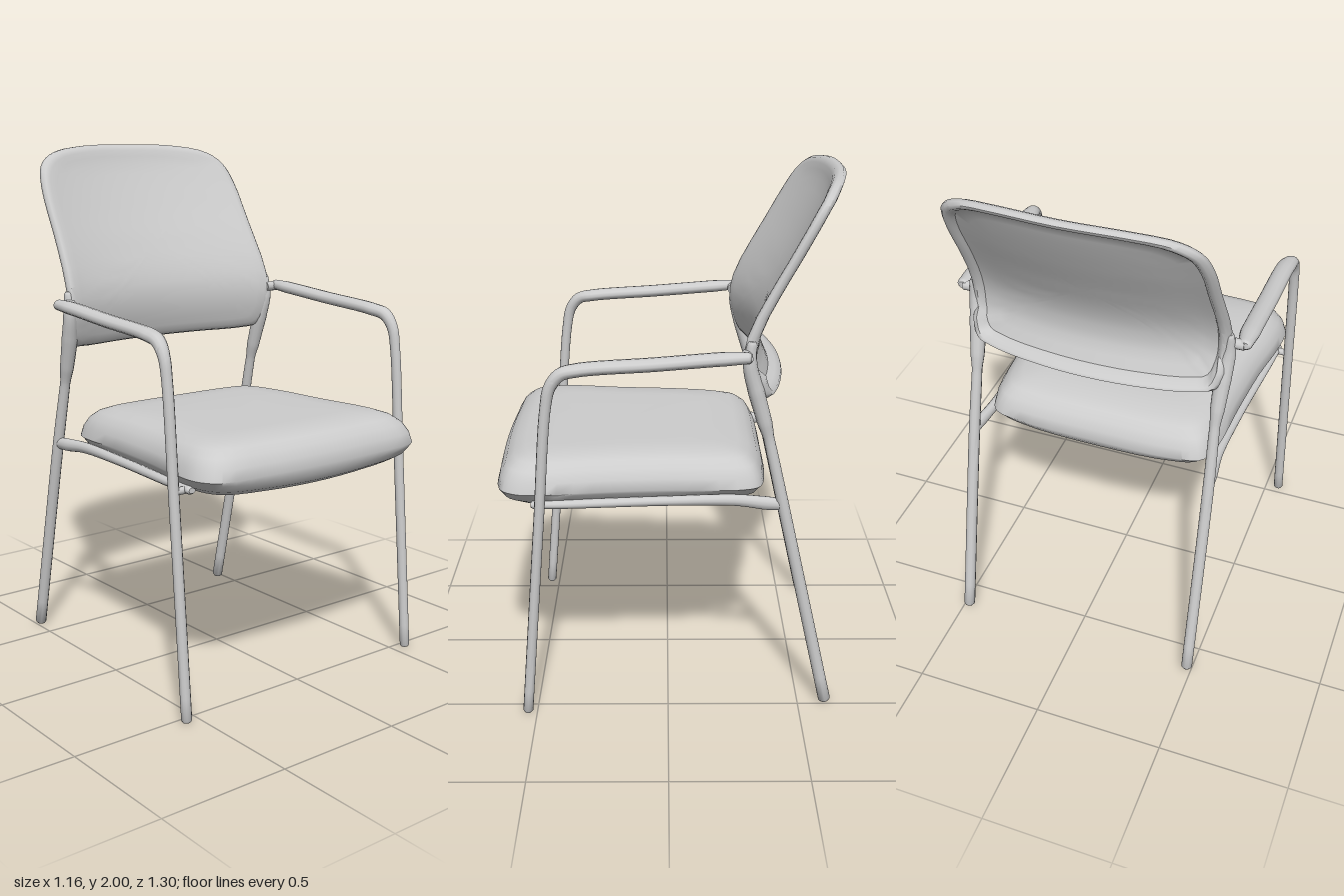
import * as THREE from 'three';
import { toCreasedNormals } from 'three/addons/utils/BufferGeometryUtils.js';

const grey = new THREE.MeshStandardMaterial({ color: 0xcccccc });
grey.name = 'light grey';

// Skin a list of closed rings (each an array of Vector3).
function loft(rings, crease = 0.9) {
  const n = rings[0].length, index = [];
  for (let i = 0; i < rings.length - 1; i++) {
    for (let j = 0; j < n; j++) {
      const k = (j + 1) % n, a = i * n + j, b = i * n + k;
      index.push(a, b, b + n, a, b + n, a + n);
    }
  }
  const geo = new THREE.BufferGeometry().setFromPoints(rings.flat());
  geo.setIndex(index);
  return toCreasedNormals(geo, crease);
}

// Bar along a path in the y-z plane; each point is [x, y, z, half width, half height].
function bar(points, steps = 40, sides = 12) {
  const curve = new THREE.CatmullRomCurve3(points.map(p => new THREE.Vector3(p[0], p[1], p[2])), false, 'centripetal');
  const X = new THREE.Vector3(1, 0, 0), rings = [];
  const addRing = (t, scale, shift = 0) => {
    const f = t * (points.length - 1), i = Math.min(Math.floor(f), points.length - 2);
    const w = THREE.MathUtils.lerp(points[i][3], points[i + 1][3], f - i) * scale;
    const h = THREE.MathUtils.lerp(points[i][4], points[i + 1][4], f - i) * scale;
    const T = curve.getTangent(t);
    const P = curve.getPoint(t).addScaledVector(T, shift);
    const N = T.clone().cross(X).normalize();
    rings.push(Array.from({ length: sides }, (_, j) => {
      const a = j / sides * Math.PI * 2;
      return P.clone().addScaledVector(X, w * Math.cos(a)).addScaledVector(N, h * Math.sin(a));
    }));
  };
  addRing(0, 0, 0);
  addRing(0, 0.7, 0);
  for (let s = 0; s <= steps; s++) addRing(s / steps, 1, s === 0 ? 0.008 : s === steps ? -0.008 : 0);
  addRing(1, 0.7, 0);
  addRing(1, 0, 0);
  return loft(rings);
}

// Mirrored closed outline from half of its points, first and last on the centre line.
function outline(half, samples = 72) {
  const full = half.concat(half.slice(1, -1).reverse().map(([x, v]) => [-x, v]));
  const curve = new THREE.CatmullRomCurve3(full.map(([x, v]) => new THREE.Vector3(x, v, 0)), true, 'centripetal');
  return Array.from({ length: samples }, (_, i) => curve.getPoint(i / samples));
}

function lookup(table, v) {
  if (v <= table[0][0]) return table[0][1];
  for (let i = 1; i < table.length; i++) {
    const [a, za] = table[i - 1], [b, zb] = table[i];
    if (v <= b) return za + (zb - za) * (v - a) / (b - a);
  }
  return table[table.length - 1][1];
}

// Padded seat with a rounded edge and a slightly bellied underside.
function seatGeometry() {
  const shape = outline([[0, -0.37], [0.3, -0.365], [0.42, -0.34], [0.455, -0.27], [0.475, 0], [0.492, 0.22],
    [0.522, 0.44], [0.518, 0.55], [0.47, 0.615], [0.25, 0.638], [0, 0.645]]);
  const profile = [[0, 1], [0.3, 1], [0.6, 1], [0.8, 0.995], [0.88, 0.98], [0.94, 0.955], [0.98, 0.92], [1, 0.88],
    [0.985, 0.845], [0.95, 0.82], [0.88, 0.8], [0.6, 0.79], [0.3, 0.79], [0, 0.79]];
  return loft(profile.map(([s, y]) => shape.map(p => {
    const x = p.x * s, z = 0.14 + (p.y - 0.14) * s;
    const lift = y < 0.85 ? 0.025 * (x / 0.5) ** 2 : -0.012 * Math.max(0, -z / 0.37);
    return new THREE.Vector3(x, y + lift, z);
  })));
}

// Thin bowed backrest with a thicker rim rolled to the rear.
function backGeometry() {
  const shape = outline([[0, 2], [0.22, 1.995], [0.38, 1.968], [0.45, 1.92], [0.478, 1.84], [0.488, 1.65],
    [0.5, 1.42], [0.495, 1.3], [0.47, 1.235], [0.4, 1.222], [0.2, 1.22], [0, 1.22]]);
  const lean = [[1.22, -0.29], [1.28, -0.272], [1.34, -0.26], [1.4, -0.258], [1.46, -0.27], [1.53, -0.298],
    [1.63, -0.35], [1.74, -0.412], [1.84, -0.465], [1.925, -0.507], [2, -0.53]];
  const front = [0, 0.1, 0.2, 0.3, 0.4, 0.5, 0.6, 0.7, 0.8, 0.88, 0.94];
  const rim = [[0.98, 0.004], [1, 0.018], [0.998, 0.034], [0.975, 0.046], [0.945, 0.046], [0.92, 0.034], [0.905, 0.018]];
  const profile = [...front.map(s => [s, 0]), ...rim, ...front.slice(0, 9).reverse().map(s => [s, 0.014])];
  return loft(profile.map(([s, depth]) => shape.map(p => {
    const x = p.x * s, y = 1.6 + (p.y - 1.6) * s;
    const bow = 0.08 * (1 - (x / 0.5) ** 2);
    const deeper = y < 1.32 ? 1.6 : 1;
    return new THREE.Vector3(x, y, lookup(lean, y) - bow - depth * deeper);
  })));
}

export function createModel() {
  const model = new THREE.Group();
  model.name = 'armchair';
  const add = (name, geo, parent = model) => {
    const mesh = new THREE.Mesh(geo, grey);
    mesh.name = name;
    parent.add(mesh);
    return mesh;
  };

  add('seat', seatGeometry());
  add('backrest', backGeometry());

  for (const side of [1, -1]) {
    const frame = new THREE.Group();
    frame.name = side > 0 ? 'leftFrame' : 'rightFrame';
    model.add(frame);
    const at = (...points) => points.map(([x, ...rest]) => [x * side, ...rest]);

    // Front leg bending into the flat armrest
    add('frontLegAndArmrest', bar(at(
      [0.555, 0, 0.535, 0.02, 0.019], [0.555, 0.8, 0.468, 0.02, 0.019], [0.555, 1.22, 0.432, 0.02, 0.02],
      [0.554, 1.3, 0.414, 0.022, 0.022], [0.55, 1.345, 0.378, 0.028, 0.024], [0.543, 1.36, 0.32, 0.037, 0.024],
      [0.542, 1.38, 0.05, 0.038, 0.024], [0.542, 1.4, -0.2, 0.037, 0.024], [0.546, 1.405, -0.29, 0.024, 0.02]), 72), frame);

    // Rear leg thickening into the backrest bracket
    add('rearLeg', bar(at(
      [0.48, 0, -0.607, 0.022, 0.023], [0.48, 0.82, -0.423, 0.022, 0.022], [0.476, 1.08, -0.364, 0.02, 0.02],
      [0.477, 1.14, -0.348, 0.027, 0.027], [0.482, 1.26, -0.314, 0.032, 0.03], [0.492, 1.36, -0.29, 0.026, 0.026],
      [0.495, 1.45, -0.295, 0.015, 0.016]), 48), frame);

    // Rail under the seat edge, flaring at the rear leg
    add('seatRail', bar(at(
      [0.5, 0.835, 0.5, 0.02, 0.015], [0.495, 0.833, 0.4, 0.02, 0.016], [0.468, 0.835, 0, 0.02, 0.018],
      [0.462, 0.835, -0.25, 0.02, 0.022], [0.474, 0.828, -0.36, 0.021, 0.026], [0.48, 0.825, -0.43, 0.018, 0.022]), 32), frame);

    // Short pins joining the rail and armrest to the uprights
    const pin = (name, x, y, z, r, length) => {
      const mesh = add(name, new THREE.CylinderGeometry(r, r, length, 12), frame);
      mesh.rotation.z = Math.PI / 2;
      mesh.position.set(x * side, y, z);
    };
    pin('railPin', 0.52, 0.832, 0.466, 0.014, 0.06);
    pin('armrestPin', 0.515, 1.4, -0.277, 0.02, 0.06);
  }
  return model;
}
